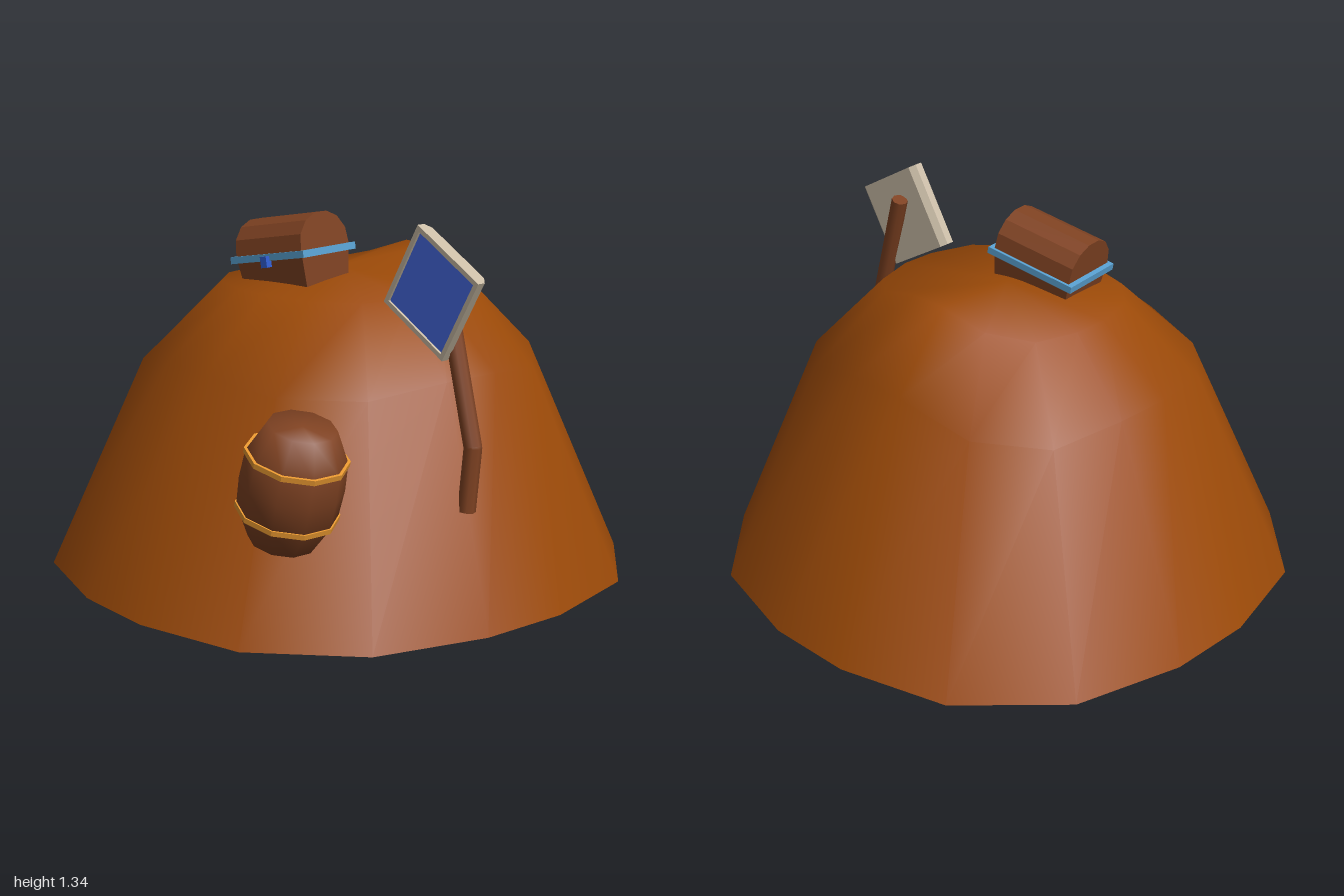
import * as THREE from 'three';

const mat = (name, color, extra = {}) => Object.assign(new THREE.MeshStandardMaterial({ color }), { name }, extra);

export function createModel() {
  const earth = mat('earth', 0x9c4a08, { side: THREE.DoubleSide });
  const wood = mat('wood', 0x7f4222);
  const gold = mat('gold', 0xe89830, { flatShading: true });
  const trim = mat('sky blue trim', 0x58a0d0);
  const clasp = mat('clasp blue', 0x2f5cd0);
  const glass = mat('panel blue', 0x4a70ec);
  const bone = mat('pale frame', 0xcabca6);

  const root = new THREE.Group();
  root.name = 'treasureMound';
  const add = (parent, name, geo, material, x = 0, y = 0, z = 0) => {
    const m = new THREE.Mesh(geo, material);
    m.name = name;
    m.position.set(x, y, z);
    parent.add(m);
    return m;
  };
  const group = (name) => {
    const g = new THREE.Group();
    g.name = name;
    root.add(g);
    return g;
  };
  const box = (w, h, d) => new THREE.BoxGeometry(w, h, d);

  // Mound: 16-sided rings, open underneath, with a narrow peak at the back and lower diagonals
  const quarter = [[1, 0.17], [0.89, 0.58], [0.58, 0.89], [0.17, 1]];
  const rim = [];
  for (let q = 0; q < 4; q++) {
    for (const [x, z] of quarter) rim.push([[x, z], [-z, x], [-x, -z], [z, -x]][q]);
  }
  const rings = [
    { y: 0, right: 1, left: 1, front: 1, back: 1, lift: 0, drop: 0 },
    { y: 0.83, right: 0.72, left: 0.65, front: 0.68, back: 0.64, lift: 0.09, drop: 0.11 },
    { y: 1.05, right: 0.47, left: 0.4, front: 0.4, back: 0.39, lift: 0.095, drop: 0 },
  ];
  const pos = [], idx = [], n = rim.length;
  for (const r of rings) {
    for (const [x, z] of rim) {
      const y = r.y + r.lift * Math.max(0, -z) ** 8 - r.drop * Math.abs(x * z);
      pos.push(x * (x > 0 ? r.right : r.left), y, z * (z > 0 ? r.front : r.back));
    }
  }
  pos.push(0, 1.1, 0);
  for (let i = 0; i < rings.length; i++) {
    for (let j = 0; j < n; j++) {
      const a = i * n + j, b = i * n + (j + 1) % n;
      if (i === rings.length - 1) idx.push(a, rings.length * n, b);
      else idx.push(a, a + n, b, b, a + n, b + n);
    }
  }
  const moundGeo = new THREE.BufferGeometry();
  moundGeo.setAttribute('position', new THREE.Float32BufferAttribute(pos, 3));
  moundGeo.setIndex(idx);
  moundGeo.computeVertexNormals();
  add(root, 'mound', moundGeo, earth);

  // Barrel leaning out of the slope
  const barrel = group('barrel');
  const profile = [[0, -0.21], [0.115, -0.21], [0.168, -0.1], [0.174, 0], [0.168, 0.1], [0.115, 0.21], [0, 0.21]];
  add(barrel, 'barrelStaves', new THREE.LatheGeometry(profile.map((p) => new THREE.Vector2(...p)), 10), wood);
  for (const y of [-0.1, 0.1]) {
    add(barrel, y < 0 ? 'lowerHoop' : 'upperHoop', new THREE.CylinderGeometry(0.174, 0.174, 0.018, 10), gold, 0, y, 0);
  }
  barrel.position.set(0.625, 0.547, 0.7);
  barrel.rotation.z = -0.27;

  // Chest with an arched lid, half sunk into the summit
  const chest = group('chest');
  const body = box(0.33, 0.15, 0.245);
  const bp = body.attributes.position;
  for (let i = 0; i < bp.count; i++) {
    if (bp.getY(i) < 0) bp.setXYZ(i, bp.getX(i) * 0.93, bp.getY(i), bp.getZ(i) * 0.85);
  }
  body.computeVertexNormals();
  add(chest, 'chestBody', body, wood, 0, -0.07, 0);
  const arch = new THREE.Shape();
  [[-0.125, 0], [-0.115, 0.07], [-0.08, 0.115], [-0.03, 0.137], [0.03, 0.137], [0.08, 0.115], [0.115, 0.07], [0.125, 0]]
    .forEach(([x, y], i) => (i ? arch.lineTo(x, y) : arch.moveTo(x, y)));
  const lid = new THREE.ExtrudeGeometry(arch, { depth: 0.33, bevelEnabled: false });
  lid.translate(0, 0, -0.165).rotateY(Math.PI / 2);
  add(chest, 'chestLid', lid, wood);
  for (const s of [-1, 1]) {
    add(chest, 'longTrim', box(0.37, 0.025, 0.02), trim, 0, 0, s * 0.125);
    add(chest, 'shortTrim', box(0.02, 0.025, 0.25), trim, s * 0.175, 0, 0);
  }
  add(chest, 'clasp', box(0.03, 0.04, 0.025), clasp, 0, -0.015, 0.14);
  chest.position.set(-0.055, 1.155, 0.165);
  chest.rotation.set(0, 0.14, 0.18, 'YXZ');

  // Framed square panel with a shallow recess
  const panel = group('framedPanel');
  const square = (shape, h) => shape.moveTo(-h, -h).lineTo(h, -h).lineTo(h, h).lineTo(-h, h).closePath();
  const frameShape = square(new THREE.Shape(), 0.162);
  frameShape.holes.push(square(new THREE.Path(), 0.145));
  add(panel, 'frame', new THREE.ExtrudeGeometry(frameShape, { depth: 0.03, bevelEnabled: false }), bone, 0, 0, -0.008);
  const back = box(0.324, 0.324, 0.018);
  const kp = back.attributes.position;
  for (let i = 0; i < kp.count; i++) {
    if (kp.getZ(i) < 0) kp.setX(i, kp.getX(i) * 0.85);
  }
  back.computeVertexNormals();
  add(panel, 'panelBack', back, bone, 0, 0, -0.017);
  add(panel, 'panelFace', box(0.29, 0.29, 0.008), glass, 0, 0, 0.009);
  panel.position.set(0.693, 1.12, 0.152);
  panel.rotation.set(0, 0.05, -0.52, 'YXZ');

  // Bent stick holding the panel
  const stick = group('stick');
  const knots = [[0.856, 0.4, 0.143], [0.868, 0.62, 0.13], [0.675, 1.2, 0.1]].map((p) => new THREE.Vector3(...p));
  for (let i = 0; i < 2; i++) {
    const dir = knots[i + 1].clone().sub(knots[i]);
    const m = add(stick, i ? 'upperStick' : 'lowerStick', new THREE.CylinderGeometry(0.031, 0.031, dir.length(), 8), wood);
    m.position.copy(knots[i]).addScaledVector(dir, 0.5);
    m.quaternion.setFromUnitVectors(new THREE.Vector3(0, 1, 0), dir.normalize());
  }
  add(stick, 'stickBend', new THREE.SphereGeometry(0.031, 8, 6), wood, ...knots[1].toArray());

  return root;
}
